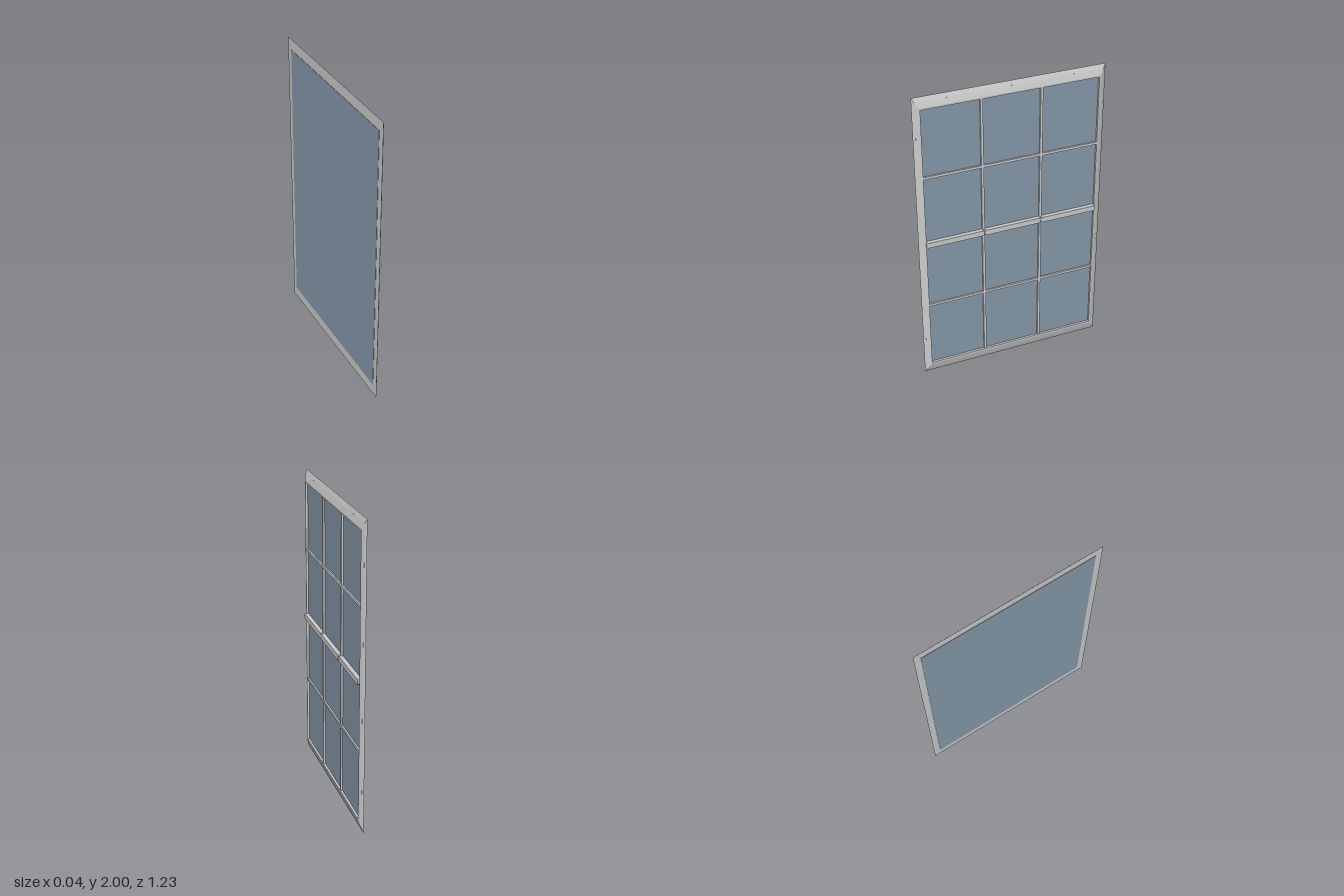
import * as THREE from 'three';

export function createModel() {
  const group = new THREE.Group();
  const frameMat = new THREE.MeshStandardMaterial({ color: 0xcccccc, flatShading: true });
  const glassMat = new THREE.MeshStandardMaterial({ color: 0x8799aa });

  const add = (name, geometry, material = frameMat) => {
    const mesh = new THREE.Mesh(geometry, material);
    mesh.name = name;
    group.add(mesh);
    return mesh;
  };
  // Box given by its x range, its y and z centre, and its sizes
  const box = (name, x0, x1, y, z, h, d, material) =>
    add(name, new THREE.BoxGeometry(x1 - x0, h, d), material).position.set((x0 + x1) / 2, y, z);

  // Frame: mitred rectangular rings [half depth, half height, x], sloping to the outer edge
  const rings = [
    [0.617, 1, -0.016], [0.6, 0.97, -0.005], [0.577, 0.935, 0.005],
    [0.571, 0.924, 0.005], [0.571, 0.924, -0.016],
  ];
  const corners = [[1, -1], [-1, -1], [-1, 1], [1, 1]];
  const pos = [];
  const point = (r, c) => {
    const [hz, hy, x] = rings[r % rings.length];
    const [sz, sy] = corners[c % 4];
    return [x, 1 + sy * hy, sz * hz];
  };
  for (let r = 0; r < rings.length; r++) {
    for (let c = 0; c < 4; c++) {
      const a = point(r, c), b = point(r, c + 1), d = point(r + 1, c + 1), e = point(r + 1, c);
      pos.push(...a, ...b, ...d, ...a, ...d, ...e);
    }
  }
  const frame = new THREE.BufferGeometry();
  frame.setAttribute('position', new THREE.Float32BufferAttribute(pos, 3));
  frame.computeVertexNormals();
  add('frame', frame);

  // Glass sheet behind the bars
  box('glass', -0.018, -0.01, 1.002, 0, 1.852, 1.146, glassMat);

  // Thin glazing bars
  for (const z of [-0.193, 0.193]) box('verticalBar', -0.012, 0.002, 1.002, z, 1.85, 0.016);
  for (const y of [0.538, 1.47]) box('horizontalBar', -0.012, 0.001, y, 0, 0.017, 1.142);

  // Thick middle rail: three sections with clipped corners
  box('middleRailCore', -0.012, 0.004, 1.003, 0, 0.034, 1.142);
  for (const [z, length] of [[-0.384, 0.382], [0, 0.38], [0.384, 0.382]]) {
    const l = length / 2, h = 0.018, c = 0.008;
    const shape = new THREE.Shape([
      [-l, -h + c], [-l + c, -h], [l - c, -h], [l, -h + c],
      [l, h - c], [l - c, h], [-l + c, h], [-l, h - c],
    ].map(([u, v]) => new THREE.Vector2(u, v)));
    const rail = add('middleRail', new THREE.ExtrudeGeometry(shape, { depth: 0.016, bevelEnabled: false }));
    rail.rotation.y = Math.PI / 2;
    rail.position.set(0.002, 1.003, z);
  }

  // Small fixing clips along the frame crease
  for (const side of [-1, 1]) {
    for (const y of [0.28, 0.76, 1.25, 1.73]) box('sideClip', -0.008, -0.004, y, side * 0.6, 0.03, 0.004);
    for (const z of [-0.4, 0, 0.4]) box('endClip', -0.008, -0.004, 1 + side * 0.97, z, 0.004, 0.014);
  }
  return group;
}
